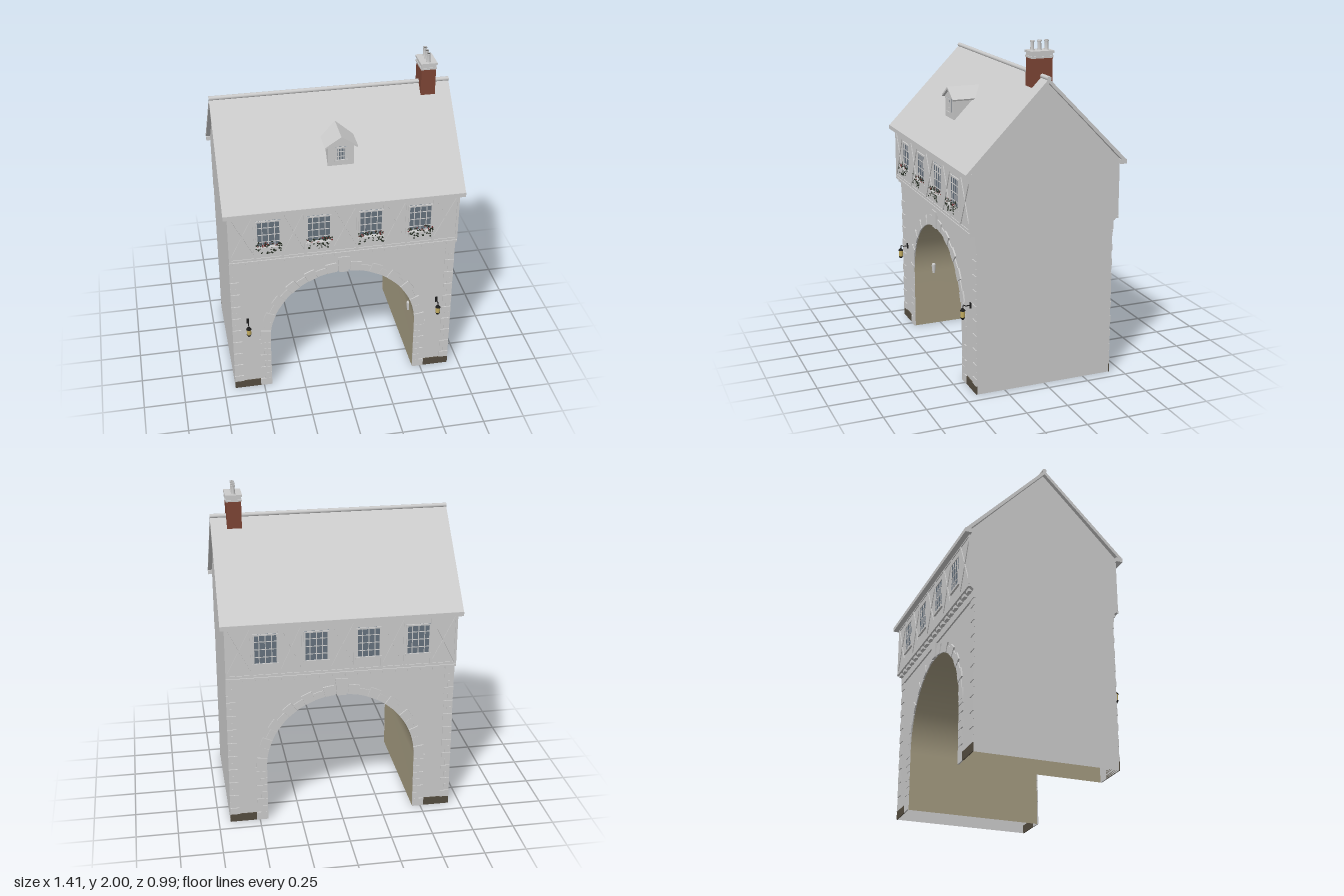
import * as THREE from 'three';

const mat = (color) => new THREE.MeshStandardMaterial({ color, side: THREE.DoubleSide });
const GREY = mat(0xcccccc), TAN = mat(0xa39a80), BROWN = mat(0x554d40), BRICK = mat(0x7d4535),
  GLASS = mat(0x66727e), DARK = mat(0x1c1c1c), LAMP = mat(0xc4ae62), LEAF = mat(0x2b3328), BLOOM = mat(0x7a3a3a);

const HALF = 0.68, ZL = 0.42, ZU = 0.455, R = 0.45, SPRING = 0.36;

function add(parent, name, geo, material = GREY, x = 0, y = 0, z = 0) {
  const m = new THREE.Mesh(geo, material);
  m.name = name;
  m.position.set(x, y, z);
  parent.add(m);
  return m;
}
// box given by its limits
const slab = (p, name, x0, x1, y0, y1, z0, z1, material) =>
  add(p, name, new THREE.BoxGeometry(x1 - x0, y1 - y0, z1 - z0), material, (x0 + x1) / 2, (y0 + y1) / 2, (z0 + z1) / 2);
const polygon = (pts) => new THREE.Shape(pts.map(([x, y]) => new THREE.Vector2(x, y)));
const prism = (pts, depth) => new THREE.ExtrudeGeometry(polygon(pts), { depth, bevelEnabled: false });
// prism with a (z, y) profile running along x
const prismX = (pts, width) => prism(pts, width).translate(0, 0, -width / 2).rotateY(Math.PI / 2);
const named = (parent, name) => {
  const g = new THREE.Group();
  g.name = name;
  parent.add(g);
  return g;
};

let seed = 7;
const rnd = () => (seed = (seed * 16807) % 2147483647) / 2147483647;

// glazed window with frame and glazing bars, centred on x, back at z
function buildWindow(parent, x, y0, y1, w, cols, rows, z) {
  const g = named(parent, 'window'), f = 0.009, h = w / 2;
  g.position.set(x, 0, z);
  slab(g, 'glass', -h, h, y0, y1, 0, 0.003, GLASS);
  for (const s of [-1, 1]) slab(g, 'frameSide', s * (h - f / 2) - f / 2, s * (h - f / 2) + f / 2, y0, y1, 0, 0.009);
  slab(g, 'frameTop', -h, h, y1 - f, y1, 0, 0.009);
  slab(g, 'sill', -h - 0.004, h + 0.004, y0 - 0.005, y0 + f, 0, 0.012);
  for (let i = 1; i < cols; i++) {
    const bx = -h + (w * i) / cols;
    slab(g, 'verticalBar', bx - 0.0025, bx + 0.0025, y0, y1, 0, 0.006);
  }
  for (let j = 1; j < rows; j++) {
    const by = y0 + ((y1 - y0) * j) / rows;
    slab(g, 'crossBar', -h, h, by - 0.002, by + 0.002, 0, 0.006);
  }
}

// timber between two points of the upper wall
function timber(g, x0, y0, x1, y1, w = 0.014) {
  const m = add(g, 'timber', new THREE.BoxGeometry(Math.hypot(x1 - x0, y1 - y0), w, 0.006), GREY,
    (x0 + x1) / 2, (y0 + y1) / 2, ZU + 0.002);
  m.rotation.z = Math.atan2(y1 - y0, x1 - x0);
}

const WINDOWS = [-0.447, -0.153, 0.153, 0.447];

function buildFacade(parent, name) {
  const g = named(parent, name);
  // lower wall with the arched opening
  const wall = polygon([[-HALF, 0], [-R, 0], [-R, SPRING]]);
  wall.absarc(0, SPRING, R, Math.PI, 0, true);
  [[R, 0], [HALF, 0], [HALF, 0.96], [-HALF, 0.96]].forEach(([x, y]) => wall.lineTo(x, y));
  add(g, 'lowerWall', new THREE.ShapeGeometry(wall, 32), GREY, 0, 0, ZL);
  // string course, dentils and moulding
  slab(g, 'stringCourse', -HALF, HALF, 0.895, 0.955, ZL, 0.43);
  slab(g, 'moulding', -HALF, HALF, 0.958, 0.97, ZL, 0.462);
  for (let i = 0; i < 18; i++) {
    const x = -0.6375 + i * 0.075;
    slab(g, 'dentil', x - 0.02, x + 0.02, 0.94, 0.958, ZL, 0.452);
  }
  for (const s of [-1, 1]) {
    const side = named(g, s > 0 ? 'leftStones' : 'rightStones');
    side.scale.x = s;
    slab(side, 'plinth', 0.52, HALF, 0, 0.05, ZL, 0.426, BROWN);
    slab(side, 'jambBase', R, 0.52, 0, 0.05, ZL, 0.428);
    slab(side, 'impost', R, 0.52, 0.335, SPRING, ZL, 0.428);
    // corner quoins
    for (let i = 0; i < 19; i++) {
      const y = 0.05 + i * 0.0445;
      slab(side, 'quoin', HALF - (i % 2 ? 0.034 : 0.056), HALF, y, y + 0.042, ZL, i % 2 ? 0.424 : 0.427);
    }
    // jamb stones
    for (let i = 0; i < 6; i++) {
      const y = 0.05 + i * 0.0475;
      slab(side, 'jambStone', R, R + (i % 2 ? 0.065 : 0.04), y, y + 0.045, ZL, 0.427);
    }
    // voussoirs, alternately long and short
    for (let i = 0; i < 11; i++) {
      const a = (i * 1.49) / 11, b = a + 1.49 / 11 - 0.006, s2 = new THREE.Shape();
      s2.absarc(0, SPRING, R, a, b, false);
      s2.absarc(0, SPRING, R + (i % 2 ? 0.042 : 0.062), b, a, true);
      add(side, 'voussoir', new THREE.ExtrudeGeometry(s2, { depth: i % 2 ? 0.006 : 0.009, bevelEnabled: false, curveSegments: 4 }),
        GREY, 0, 0, ZL);
    }
  }
  add(g, 'keystone', prism([[-0.028, 0.808], [0.028, 0.808], [0.036, 0.915], [-0.036, 0.915]], 0.016), GREY, 0, 0, ZL);
  // timber frame of the upper floor
  const frame = named(g, 'timberFrame');
  timber(frame, -HALF, 0.98, HALF, 0.98);
  timber(frame, -HALF, 1.285, HALF, 1.285);
  const posts = [-HALF + 0.007, ...WINDOWS.flatMap((x) => [x - 0.08, x + 0.08]), HALF - 0.007];
  posts.forEach((x) => timber(frame, x, 0.975, x, 1.29));
  for (let i = 0; i < posts.length; i += 2) {
    timber(frame, posts[i], 0.985, posts[i + 1], 1.28, 0.011);
    timber(frame, posts[i], 1.28, posts[i + 1], 0.985, 0.011);
  }
  WINDOWS.forEach((x) => buildWindow(g, x, 1.05, 1.24, 0.146, 4, 4, ZU));
  return g;
}

function buildFlowerBox(parent, x) {
  const g = named(parent, 'flowerBox');
  g.position.set(x, 0, ZU);
  slab(g, 'trough', -0.072, 0.072, 1.048, 1.075, 0.008, 0.033);
  const leaf = new THREE.OctahedronGeometry(0.008);
  for (let i = 0; i < 60; i++) {
    const hanging = i % 3 === 0;
    const m = add(g, i % 6 === 1 ? 'bloom' : 'leaf', leaf, i % 6 === 1 ? BLOOM : LEAF, (rnd() - 0.5) * 0.15,
      hanging ? 1.035 + rnd() * 0.04 : 1.073 + rnd() * 0.03, hanging ? 0.034 + rnd() * 0.004 : 0.012 + rnd() * 0.024);
    m.scale.set(0.5 + rnd() * 0.6, 0.4 + rnd() * 0.7, 0.4);
    m.rotation.z = rnd() * 3;
  }
}

function buildLantern(parent, x) {
  const g = named(parent, 'lantern');
  g.position.set(x, 0, ZL);
  slab(g, 'wallPlate', -0.007, 0.007, 0.495, 0.53, 0, 0.006, DARK);
  const path = new THREE.CatmullRomCurve3([[0.503, 0], [0.514, 0.014], [0.512, 0.03], [0.52, 0.045], [0.5, 0.05]]
    .map(([y, z]) => new THREE.Vector3(0, y, z)));
  add(g, 'bracket', new THREE.TubeGeometry(path, 16, 0.0028, 6), DARK);
  add(g, 'cap', new THREE.CylinderGeometry(0.005, 0.017, 0.016, 8), DARK, 0, 0.495, 0.05);
  add(g, 'lampGlass', new THREE.CylinderGeometry(0.014, 0.013, 0.04, 8), LAMP, 0, 0.468, 0.05);
  add(g, 'lampBase', new THREE.CylinderGeometry(0.015, 0.008, 0.014, 8), DARK, 0, 0.442, 0.05);
}

export function createModel() {
  const model = new THREE.Group();
  model.name = 'gatehouse';

  // end walls, upper floor with gables
  for (const s of [-1, 1])
    add(model, 'endWall', new THREE.PlaneGeometry(2 * ZL, 0.96).rotateY((s * Math.PI) / 2), GREY, s * HALF, 0.48, 0);
  add(model, 'upperFloor', prismX([[-ZL, 0.935], [ZL, 0.935], [ZU, 0.965], [ZU, 1.315], [0, 1.785], [-ZU, 1.315], [-ZU, 0.965]], 2 * HALF));

  // vaulted passage lining
  const N = 40, vault = new THREE.PlaneGeometry(1, 1, N, 1), pos = vault.attributes.position;
  for (let i = 0; i < pos.count; i++) {
    const k = i % (N + 1), a = ((k - 1) * Math.PI) / (N - 2), end = k === 0 || k === N;
    const x = end ? (k ? -R : R) : R * Math.cos(a);
    pos.setXYZ(i, x, end ? 0 : SPRING + R * Math.sin(a), i > N ? ZL : -ZL);
  }
  vault.computeVertexNormals();
  add(model, 'passageVault', vault, TAN);
  for (const s of [-1, 1]) {
    const light = add(model, 'passageLight', new THREE.CylinderGeometry(0.014, 0.009, 0.055, 10), GREY, s * 0.447, 0.38, 0.29);
    add(light, 'passageLightTop', new THREE.SphereGeometry(0.014, 10, 6), GREY, 0, 0.0275, 0);
  }

  const front = buildFacade(model, 'frontFacade');
  buildFacade(model, 'backFacade').rotation.y = Math.PI;
  WINDOWS.forEach((x) => buildFlowerBox(front, x));
  for (const s of [-1, 1]) buildLantern(front, s * 0.585);

  // roof with eaves boards and ridge
  add(model, 'roof', prismX([[0, 1.807], [-0.49, 1.31], [-0.465, 1.308], [0, 1.782], [0.465, 1.308], [0.49, 1.31]], 1.41));
  for (const s of [-1, 1])
    slab(model, 'eavesBoard', -0.705, 0.705, 1.286, 1.312, s * 0.472 - 0.02, s * 0.472 + 0.02);
  add(model, 'ridge', new THREE.CylinderGeometry(0.013, 0.013, 1.412, 10).rotateZ(Math.PI / 2), GREY, 0, 1.807, 0);

  // dormer
  const dormer = named(model, 'dormer');
  add(dormer, 'dormerWalls', prism([[-0.076, 1.48], [0.076, 1.48], [0.076, 1.605], [0, 1.652], [-0.076, 1.605]], 0.225), GREY, 0, 0, 0.1);
  add(dormer, 'dormerRoof', prism([[0, 1.668], [-0.096, 1.605], [-0.092, 1.596], [0, 1.654], [0.092, 1.596], [0.096, 1.605]], 0.24),
    GREY, 0, 0, 0.1);
  buildWindow(dormer, 0, 1.51, 1.6, 0.064, 4, 3, 0.325);

  // chimney with three pots
  const chimney = named(model, 'chimney');
  chimney.position.x = 0.568;
  slab(chimney, 'stack', -0.043, 0.043, 1.68, 1.912, -0.062, 0.062, BRICK);
  slab(chimney, 'lowerCap', -0.047, 0.047, 1.905, 1.916, -0.066, 0.066);
  slab(chimney, 'capNeck', -0.043, 0.043, 1.916, 1.932, -0.062, 0.062);
  slab(chimney, 'upperCap', -0.049, 0.049, 1.932, 1.945, -0.069, 0.069);
  const potProfile = [[0.014, 0], [0.011, 0.008], [0.01, 0.045], [0.013, 0.048], [0.013, 0.055], [0.009, 0.055], [0.008, 0.02]];
  for (const z of [-0.043, 0, 0.043]) {
    add(chimney, 'pot', new THREE.LatheGeometry(potProfile.map(([r, y]) => new THREE.Vector2(r, y)), 14), GREY, 0, 1.945, z);
    add(chimney, 'potFlue', new THREE.CircleGeometry(0.0095, 14).rotateX(-Math.PI / 2), DARK, 0, 1.997, z);
  }
  return model;
}
